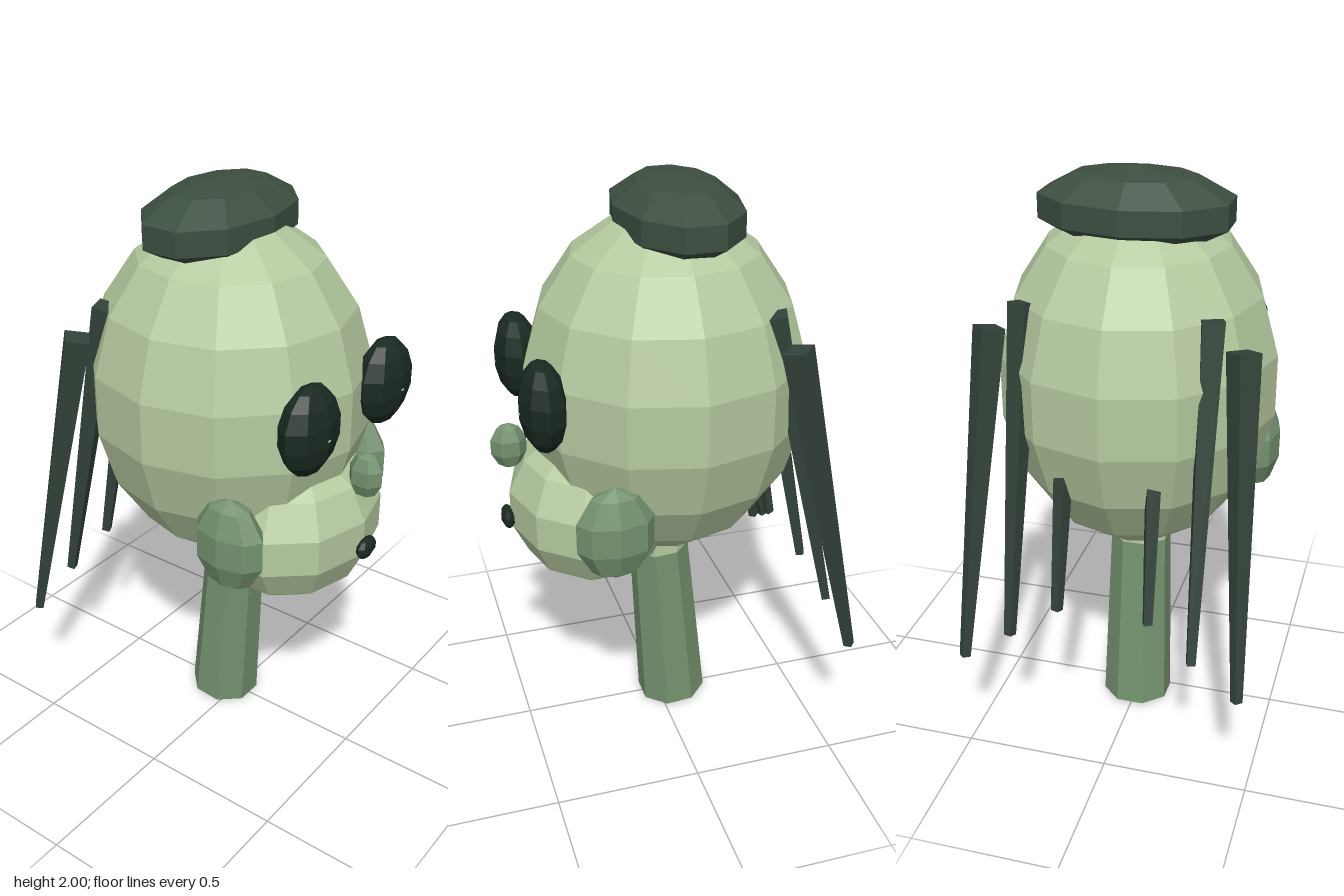
import * as THREE from 'three';

const mat = (color) => new THREE.MeshStandardMaterial({ color, flatShading: true });
const skin = mat(0xb5c99f), stalk = mat(0x74926f), felt = mat(0x3d4f41);
const strand = mat(0x33433a), black = mat(0x1a2a22);

export function createModel() {
  const group = new THREE.Group();

  const add = (name, geometry, material) => {
    const mesh = new THREE.Mesh(geometry, material);
    mesh.name = name;
    group.add(mesh);
    return mesh;
  };

  // Low-poly ellipsoid with a column of vertices facing the front
  const blob = (name, material, [x, y, z], [rx, ry, rz], segments, rows) => {
    const g = new THREE.SphereGeometry(1, segments, rows);
    g.rotateY(Math.PI / 2).scale(rx, ry, rz).translate(x, y, z);
    return add(name, g, material);
  };

  // Tapered prism running from one point to another
  const rod = (name, material, from, to, r0, r1, sides, twist = 0) => {
    const a = new THREE.Vector3(...from), b = new THREE.Vector3(...to);
    const dir = b.clone().sub(a);
    const g = new THREE.CylinderGeometry(r1, r0, dir.length(), sides);
    g.rotateY(twist);
    const mesh = add(name, g, material);
    mesh.quaternion.setFromUnitVectors(new THREE.Vector3(0, 1, 0), dir.normalize());
    mesh.position.copy(a.add(b).multiplyScalar(0.5));
    return mesh;
  };

  // Head, muzzle and cap
  blob('head', skin, [0, 1.3, -0.027], [0.47, 0.6, 0.486], 12, 9);
  blob('muzzle', skin, [0, 0.89, 0.245], [0.334, 0.28, 0.285], 10, 7);
  blob('cap', felt, [0, 1.87, -0.0625], [0.337, 0.13, 0.218], 10, 5);

  // Nose and mouth
  blob('nose', stalk, [0, 1.13, 0.515], [0.048, 0.082, 0.063], 6, 5);
  blob('mouth', black, [0, 0.86, 0.533], [0.053, 0.038, 0.024], 8, 5);

  // Neck stalk, leaning slightly back towards its foot
  rod('neckStalk', stalk, [0, 0.012, -0.055], [0, 0.665, -0.005], 0.125, 0.106, 8, Math.PI / 8);
  rod('neckCollar', skin, [0, 0.665, -0.005], [0, 0.8, 0.005], 0.106, 0.106, 8, Math.PI / 8);

  // Hair strands: top point, tip, top radius
  const strands = [
    [[0.405, 1.53, -0.33], [0.468, 0.42, -0.56], 0.055],
    [[0.3, 1.61, -0.295], [0.31, 0.52, -0.535], 0.05],
    [[0.14, 1.64, -0.3], [0.155, 0.62, -0.495], 0.045],
  ];

  for (const [side, s] of [['left', 1], ['right', -1]]) {
    blob(side + 'Eye', black, [s * 0.22, 1.36, 0.435], [0.133, 0.15, 0.077], 8, 7);
    blob(side + 'EyeGlint', skin, [s * 0.22, 1.345, 0.506], [0.01, 0.006, 0.006], 6, 4);
    blob(side + 'Cheek', stalk, [s * 0.372, 0.957, 0.248], [0.078, 0.166, 0.135], 8, 5);
    strands.forEach(([top, tip, r], i) => rod(
      side + 'HairStrand' + (i + 1), strand,
      [s * top[0], top[1], top[2]], [s * tip[0], tip[1], tip[2]],
      r, 0.02, 4, s * (Math.PI / 4 + 0.25)));
  }
  return group;
}
